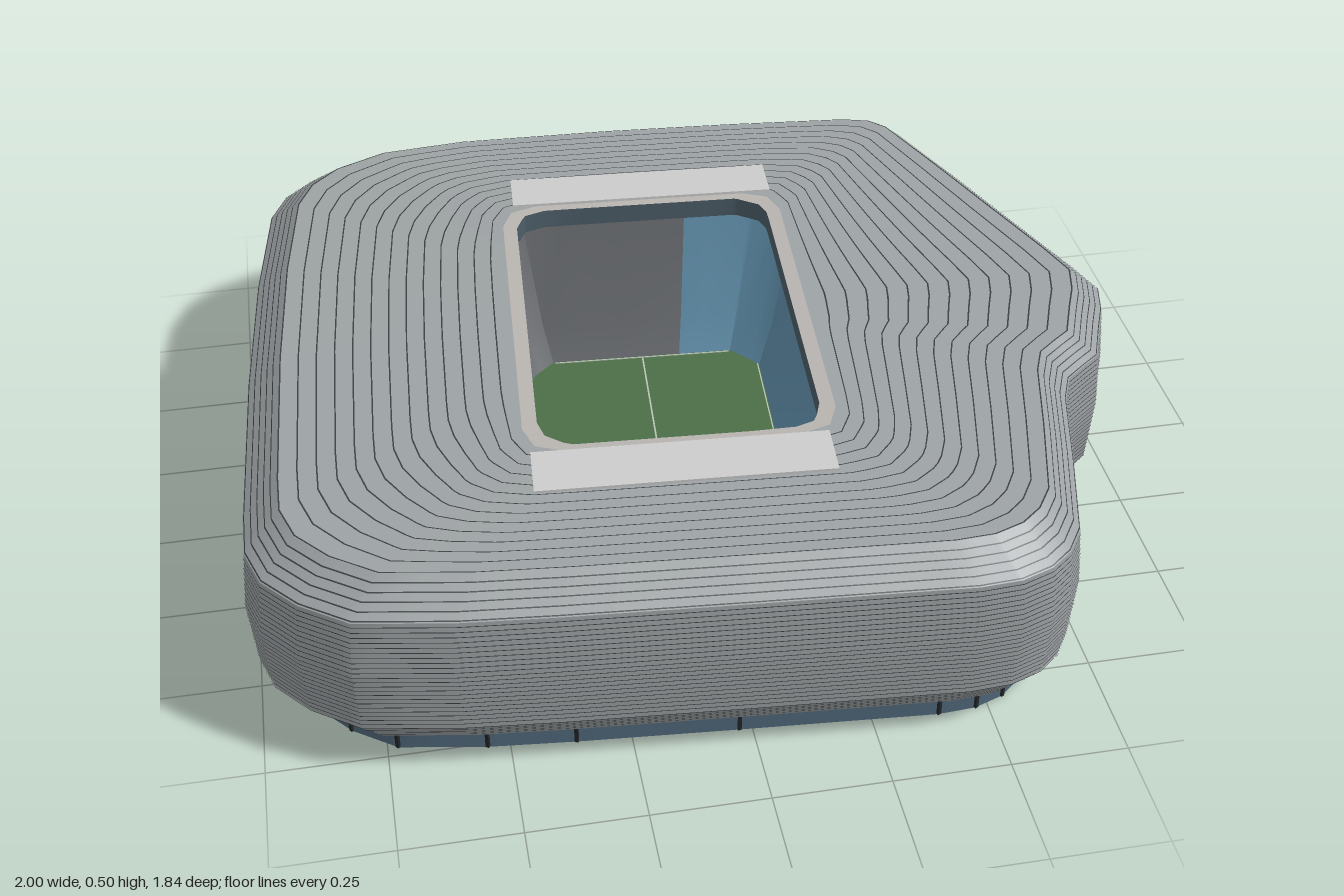
import * as THREE from 'three';
import { toCreasedNormals } from 'three/addons/utils/BufferGeometryUtils.js';

const CX = -0.05, CZ = -0.01, TILT = 0.063; // centre and turn of the playing field

// widest plan of the shell, as x, z pairs
const PLAN = [
  [-0.67, -0.9], [-0.45, -0.92], [-0.05, -0.905], [0.3, -0.88], [0.61, -0.85], [0.68, -0.83], [0.72, -0.79],
  [0.8, -0.58], [0.88, -0.36], [0.965, -0.13], [1, -0.02], [0.98, 0.06], [0.95, 0.13], [0.91, 0.23], [0.87, 0.26],
  [0.82, 0.3], [0.79, 0.37], [0.74, 0.57], [0.68, 0.79], [0.64, 0.85], [0.59, 0.89], [0.52, 0.915], [0.43, 0.92],
  [-0.03, 0.885], [-0.4, 0.855], [-0.6, 0.835], [-0.8, 0.8], [-0.9, 0.73], [-0.97, 0.65], [-1, 0.56], [-1, 0.45],
  [-0.98, 0], [-0.95, -0.38], [-0.91, -0.68], [-0.87, -0.77], [-0.8, -0.84],
];

// field-aligned rectangle with cut corners
function cutRect(w, h, c, mid = 0.5) {
  const pts = [];
  for (const [sx, sz] of [[1, 1], [-1, 1], [-1, -1], [1, -1]]) {
    const corner = [[w, h - c], [w - c * (1 - mid) * 0.55, h - c * (1 - mid) * 0.55], [w - c, h]];
    if (sx * sz < 0) corner.reverse();
    corner.forEach(([u, v]) => pts.push([sx * u, sz * v]));
  }
  return pts.map(([u, v]) => [
    CX + u * Math.cos(TILT) - v * Math.sin(TILT), CZ + u * Math.sin(TILT) + v * Math.cos(TILT)]);
}

// distance from the centre to a polygon along a bearing
function reach(poly, a) {
  const dx = Math.cos(a), dz = Math.sin(a);
  let best = 0;
  poly.forEach(([x1, z1], i) => {
    const [x2, z2] = poly[(i + 1) % poly.length];
    const ex = x2 - x1, ez = z2 - z1, px = x1 - CX, pz = z1 - CZ;
    const det = dx * ez - dz * ex;
    if (Math.abs(det) < 1e-9) return;
    const r = (px * ez - pz * ex) / det, s = (px * dz - pz * dx) / det;
    if (r > 0 && s > -1e-6 && s < 1 + 1e-6) best = Math.max(best, r);
  });
  return best;
}

const RIM = cutRect(0.33, 0.465, 0.08);
const OPENING = cutRect(0.298, 0.445, 0.07);
const FIELD = cutRect(0.288, 0.435, 0.065, 0.1);
const bearings = [...PLAN, ...RIM].map(([x, z]) => Math.atan2(z - CZ, x - CX));
for (let i = 0; i < 24; i++) bearings.push((i / 24) * Math.PI * 2 - Math.PI + 0.013);
bearings.sort((a, b) => a - b);
const radii = (poly) => bearings.map((a) => reach(poly, a));
const rPlan = radii(PLAN), rRim = radii(RIM), rOpen = radii(OPENING), rField = radii(FIELD);

const ringOf = (r, y) => bearings.map((a, i) => [CX + Math.cos(a) * r[i], y, CZ + Math.sin(a) * r[i]]);
// plan scaled about the origin of the model
const planRing = (s, y) => ringOf(rPlan, y).map(([x, , z]) => [x * s, y, z * s]);
const mix = (a, b, t, y) => a.map((p, i) => [
  p[0] + (b[i][0] - p[0]) * t, y ?? p[1] + (b[i][1] - p[1]) * t, p[2] + (b[i][2] - p[2]) * t]);

// skin through closed rings; keep() can pick bearings
function loft(rings, keep = () => true, crease = 0.45) {
  const pos = [];
  for (let k = 0; k < rings.length - 1; k++) {
    const a = rings[k], b = rings[k + 1];
    for (let i = 0; i < a.length; i++) {
      const j = (i + 1) % a.length;
      if (keep(bearings[i])) pos.push(...a[i], ...b[i], ...a[j], ...a[j], ...b[i], ...b[j]);
    }
  }
  const g = new THREE.BufferGeometry();
  g.setAttribute('position', new THREE.Float32BufferAttribute(pos, 3));
  g.computeVertexNormals();
  return toCreasedNormals(g, crease);
}

export function createModel() {
  const root = new THREE.Group();
  root.name = 'stadium';
  const mat = (color, side = THREE.FrontSide) => new THREE.MeshStandardMaterial({ color, side });
  const shellMat = mat(0x9da2a4), seamMat = mat(0x3c4042), glassMat = mat(0x50677a);
  const darkMat = mat(0x222426), rimMat = mat(0xb8b4b0), lineMat = mat(0xb5c4b0);
  const add = (name, geo, material, parent = root) => {
    const m = new THREE.Mesh(geo, material);
    m.name = name;
    parent.add(m);
    return m;
  };

  // facade: [scale of plan, height]
  const profile = [[0.945, 0.07], [0.99, 0.135], [1, 0.29], [0.987, 0.42], [0.91, 0.485]];
  add('facade', loft(profile.map(([s, y]) => planRing(s, y))), shellMat);
  const eave = planRing(0.91, 0.485), rim = ringOf(rRim, 0.497);
  add('roof', loft([eave, mix(eave, rim, 0.5), rim]), shellMat);
  add('roofRim', loft([rim, ringOf(rOpen, 0.496)]), rimMat);

  // cladding seams on facade and roof
  const seams = new THREE.Group();
  seams.name = 'claddingSeams';
  root.add(seams);
  const scaleAt = (y) => {
    const k = Math.max(1, profile.findIndex((p) => p[1] >= y));
    const [s0, y0] = profile[k - 1], [s1, y1] = profile[k];
    return s0 + ((s1 - s0) * (y - y0)) / (y1 - y0);
  };
  for (let y = 0.085; y < 0.48; y += 0.0125) {
    const s = scaleAt(y) + 0.0015, t = scaleAt(y + 0.0018) + 0.0015;
    add('facadeSeam', loft([planRing(s, y), planRing(t, y + 0.0018)]), seamMat, seams);
  }
  for (let i = 0; i < 13; i++) {
    const t = i / 13, y = 0.4865 + 0.012 * t;
    add('roofSeam', loft([mix(eave, rim, t, y), mix(eave, rim, t + 0.006, y)]), seamMat, seams);
  }

  // glazed podium with mullions, soffit and underside
  const foot = planRing(0.91, 0);
  add('podium', loft([foot, planRing(0.91, 0.07)]), glassMat);
  add('soffit', loft([planRing(0.9, 0.07), planRing(0.945, 0.07)]), darkMat);
  add('underside', loft([planRing(0, 0), foot]), darkMat);
  PLAN.forEach(([x, z]) => {
    const m = add('mullion', new THREE.BoxGeometry(0.008, 0.068, 0.008), darkMat);
    m.position.set(x * 0.91, 0.036, z * 0.91);
    m.rotation.y = -Math.atan2(z, x);
  });

  // inner fascia, ceiling and stands
  const lip = ringOf(rOpen, 0.45), back = mix(ringOf(rOpen, 0), eave, 0.3, 0.42);
  add('fascia', loft([ringOf(rOpen, 0.496), lip]), mat(0x4c5d68));
  add('ceiling', loft([lip, back]), mat(0x55595c));
  const front = ringOf(rField, 0.05), lower = mix(front, back, 0.35, 0.14);
  const isBlue = (a) => Math.sin(2 * (a - TILT)) < 0;
  add('blueStands', loft([back, lower, front], isBlue), mat(0x5d8ba6));
  add('greyStands', loft([back, lower, front], (a) => !isBlue(a)), mat(0x63666a));

  // playing field and markings
  const field = new THREE.Group();
  field.name = 'field';
  root.add(field);
  add('grass', loft([front, ringOf(rField.map(() => 0), 0.05)]), mat(0x4c6e48), field);
  const line = (w, d, u, v) => {
    const m = add('marking', new THREE.BoxGeometry(w, 0.002, d), lineMat, field);
    m.position.set(CX + u * Math.cos(TILT) - v * Math.sin(TILT), 0.051, CZ + u * Math.sin(TILT) + v * Math.cos(TILT));
    m.rotation.y = -TILT;
  };
  line(0.004, 0.86, 0, 0);
  for (const s of [-1, 1]) {
    line(0.003, 0.74, s * 0.284, 0);
    line(0.44, 0.003, 0, s * 0.43);
  }

  // pale panels at both ends of the opening, sloping outwards
  for (const s of [-1, 1]) {
    const panel = add(s > 0 ? 'frontRoofPanel' : 'backRoofPanel', new THREE.BoxGeometry(0.62, 0.008, 0.12), mat(0xcccccc));
    const v = s * 0.527;
    panel.position.set(CX - v * Math.sin(TILT) + s * -0.008, 0.496, CZ + v * Math.cos(TILT));
    panel.rotation.order = 'YXZ';
    panel.rotation.set(s * 0.03, -TILT, 0);
  }
  return root;
}
